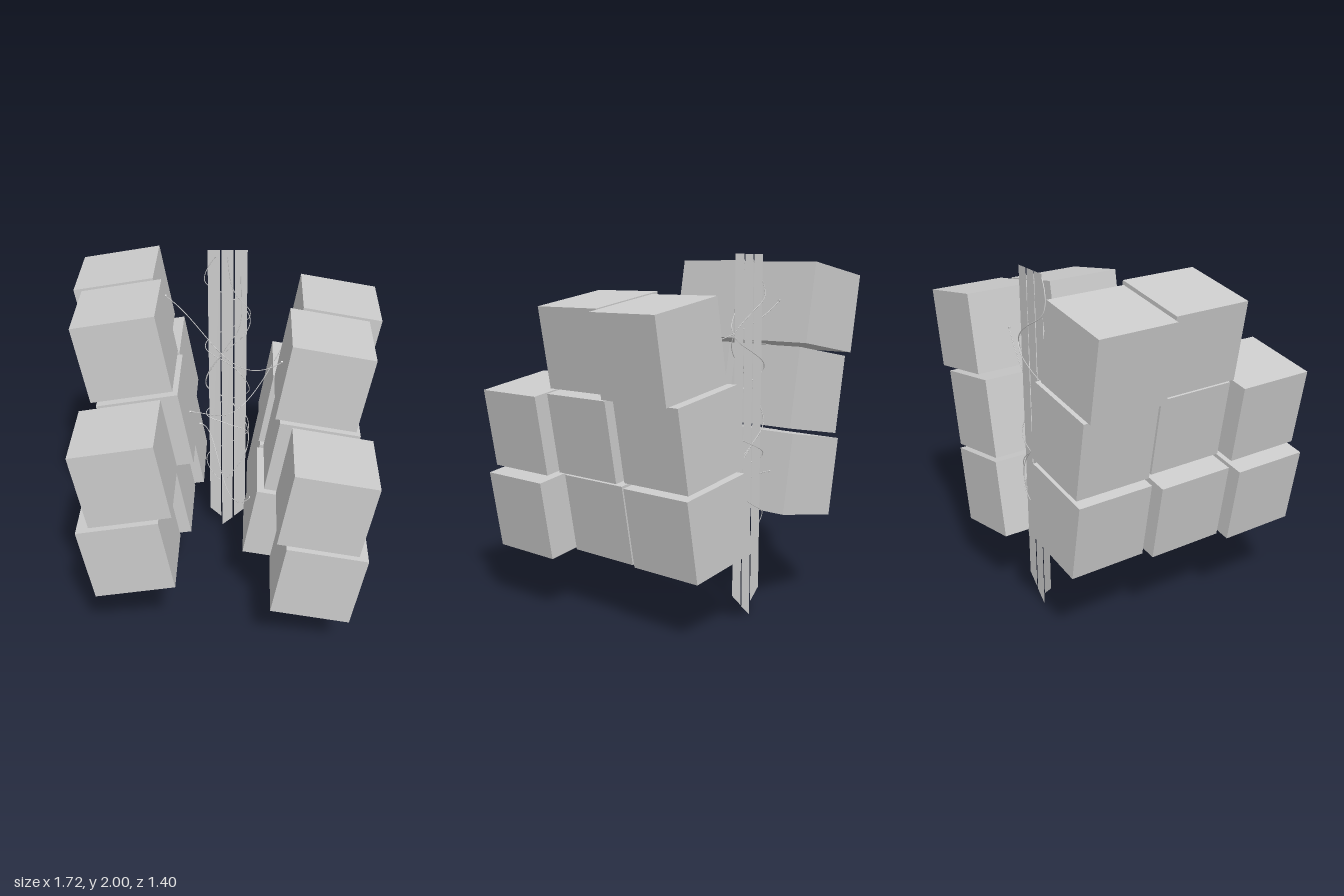
import * as THREE from 'three';

const TILT = THREE.MathUtils.degToRad(10);
const SIZE = 0.45;
const ROW_Z = [0.477, 0.003, -0.477]; // front, middle, back

// Inner top corner [x, y, row] of every cube, as distance from the centre line
const LEFT = [
  [0.37, 1.97, 1], [0.42, 1.961, 2],
  [0.355, 1.489, 0], [0.265, 1.505, 1], [0.285, 1.501, 2],
  [0.35, 1.005, 0], [0.288, 1.016, 1], [0.235, 1.025, 2],
];
const RIGHT = [
  [0.34, 1.805, 1], [0.415, 1.792, 2],
  [0.355, 1.322, 0], [0.288, 1.334, 1], [0.257, 1.339, 2],
  [0.33, 0.842, 0], [0.17, 0.87, 1], [0.187, 0.867, 2],
];

// Panel plane and the flat ellipse the wires wind along
const PANEL_Z = -0.555;
const WIND = { cx: -0.017, rx: 0.135, rz: 0.032 };

export function createModel() {
  const model = new THREE.Group();
  const grey = new THREE.MeshStandardMaterial({ color: 0xcccccc });
  const thin = new THREE.MeshStandardMaterial({ color: 0xcccccc, side: THREE.DoubleSide });

  function add(name, geometry, material = grey) {
    const mesh = new THREE.Mesh(geometry, material);
    mesh.name = name;
    model.add(mesh);
    return mesh;
  }

  // Two leaning stacks of cubes
  const cube = new THREE.BoxGeometry(SIZE, SIZE, SIZE);
  const h = SIZE / 2;
  const dx = h * (Math.cos(TILT) - Math.sin(TILT));
  const dy = h * (Math.cos(TILT) + Math.sin(TILT));
  for (const [side, name, corners] of [[-1, 'rightCube', LEFT], [1, 'leftCube', RIGHT]]) {
    for (const [x, y, row] of corners) {
      const mesh = add(name, cube);
      mesh.position.set(side * (x + dx), y - dy, ROW_Z[row]);
      mesh.rotation.z = -side * TILT;
    }
  }

  // Three thin upright strips with slanted lower ends: [x0, x1, y0, y1]
  for (const [x0, x1, y0, y1] of [
    [-0.132, -0.06, 0.145, 0.075],
    [-0.053, 0.017, 0, 0.065],
    [0.025, 0.098, 0.075, 0.145],
  ]) {
    const outline = new THREE.Shape([
      new THREE.Vector2(x0, y0), new THREE.Vector2(x1, y1),
      new THREE.Vector2(x1, 2), new THREE.Vector2(x0, 2),
    ]);
    add('backStrip', new THREE.ShapeGeometry(outline), thin).position.z = PANEL_Z;
  }

  // Wires winding round the strips: [angle in degrees, height], 0 is the front
  const windings = [
    [[-30, 1.97], [-90, 1.82], [-180, 1.7], [-270, 1.55], [-360, 1.37], [-450, 1.12],
      [-540, 0.98], [-630, 0.72], [-720, 0.42]],
    [[0, 1.97], [10, 1.8], [90, 1.6], [180, 1.48], [270, 1.38], [360, 1.28], [450, 1.08],
      [540, 0.98], [630, 0.9], [720, 0.84], [800, 0.72], [720, 0.42]],
    [[35, 1.85], [38, 1.6], [0, 1.4], [-90, 1.13], [-180, 0.98], [-260, 0.8], [-180, 0.65],
      [-90, 0.55], [-20, 0.4]],
  ];
  for (const keys of windings) {
    const path = new THREE.CatmullRomCurve3(
      keys.map(([a, y]) => new THREE.Vector3(THREE.MathUtils.degToRad(a), y, 0)));
    const points = path.getPoints(100).map(({ x: a, y }) => new THREE.Vector3(
      WIND.cx + WIND.rx * Math.sin(a), y, PANEL_Z + WIND.rz * Math.cos(a)));
    add('windingWire', new THREE.TubeGeometry(new THREE.CatmullRomCurve3(points), 240, 0.0025, 6));
  }

  // Hanging cables between the stacks: start, two sagging control points, end
  const plug = new THREE.CylinderGeometry(0.006, 0.006, 0.02, 10);
  plug.rotateZ(Math.PI / 2);
  for (const cable of [
    [[-0.38, 1.745, -0.485], [-0.13, 1.56, -0.485], [0, 1.36, -0.015], [0.3, 1.58, -0.015]],
    [[-0.22, 1.245, -0.02], [-0.02, 1.24, -0.02], [0.03, 0.76, -0.475], [0.375, 1.57, -0.475]],
    [[-0.195, 0.805, -0.575], [-0.06, 0.83, -0.56], [-0.06, 0.42, -0.01], [0.135, 0.65, -0.01]],
  ]) {
    const p = cable.map((v) => new THREE.Vector3(...v));
    add('hangingCable', new THREE.TubeGeometry(new THREE.CubicBezierCurve3(...p), 48, 0.0025, 6));
    for (const end of [p[0], p[3]]) add('cablePlug', plug).position.copy(end);
  }

  return model;
}
